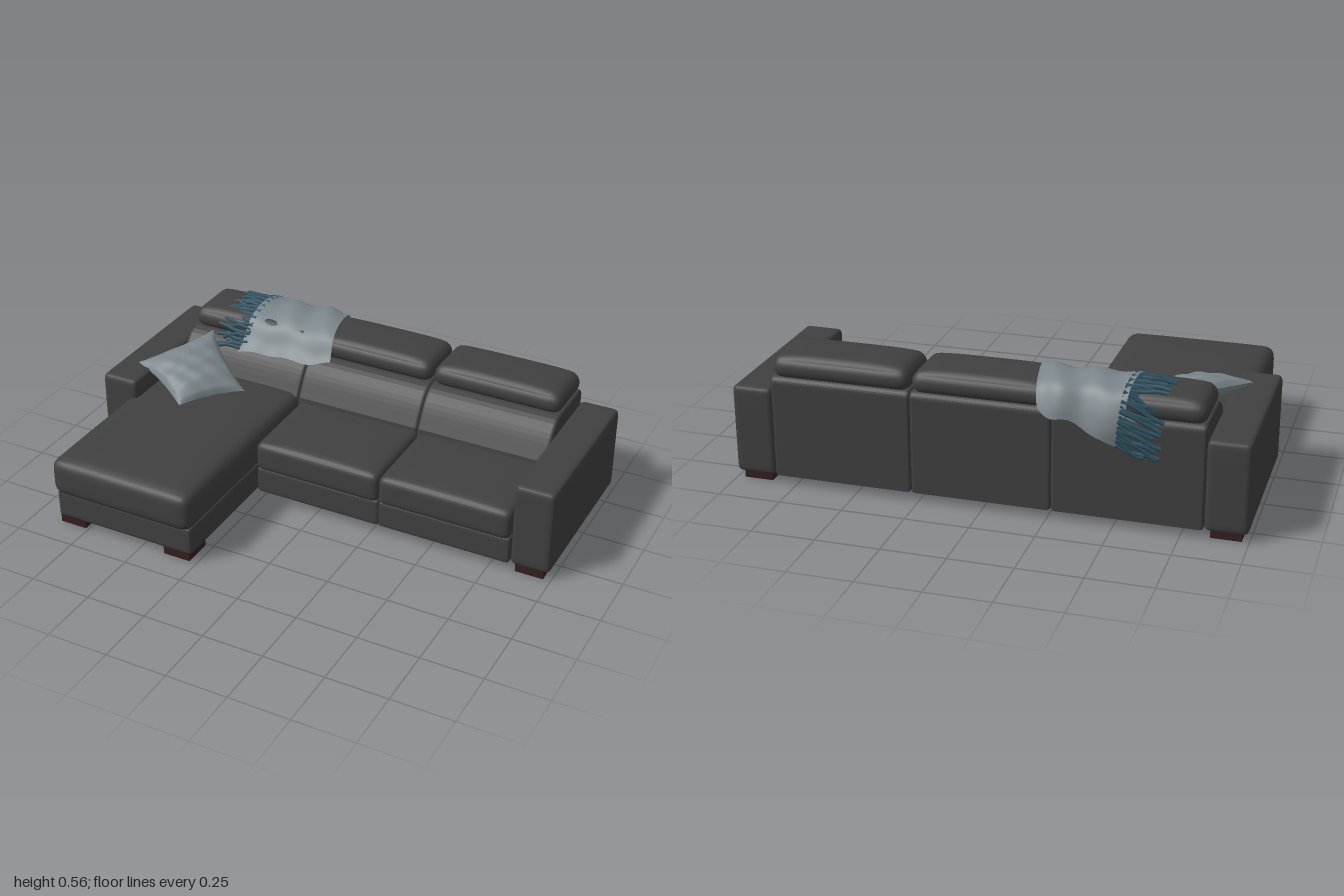
import * as THREE from 'three';
import { mergeVertices, mergeGeometries } from 'three/addons/utils/BufferGeometryUtils.js';

const mat = (name, color, side = THREE.FrontSide) => {
  const m = new THREE.MeshStandardMaterial({ color, side });
  m.name = name;
  return m;
};

// Weld a geometry and give it smooth normals
function smooth(geo) {
  geo.deleteAttribute('uv');
  geo.deleteAttribute('normal');
  const g = mergeVertices(geo, 1e-5);
  g.computeVertexNormals();
  return g;
}

// Rounded, slightly puffed upholstery block given by its limits
function softBox([x0, x1], [y0, y1], [z0, z1], r, puff = 0) {
  const half = new THREE.Vector3(x1 - x0, y1 - y0, z1 - z0).multiplyScalar(0.5);
  const inner = half.clone().subScalar(r);
  const geo = new THREE.BoxGeometry(2, 2, 2, 20, 14, 20);
  const pos = geo.attributes.position;
  const p = new THREE.Vector3(), c = new THREE.Vector3();
  const ease = (t) => Math.sin(t * Math.PI / 2);
  for (let i = 0; i < pos.count; i++) {
    p.fromBufferAttribute(pos, i);
    p.set(ease(p.x), ease(p.y), ease(p.z));
    const bulge = puff * (1 - p.x ** 4) * (1 - p.z ** 4) * Math.max(0, p.y);
    p.multiply(half);
    c.copy(p).clamp(inner.clone().negate(), inner);
    p.sub(c).normalize().multiplyScalar(r).add(c);
    pos.setXYZ(i, p.x + (x0 + x1) / 2, p.y + bulge + (y0 + y1) / 2, p.z + (z0 + z1) / 2);
  }
  return smooth(geo);
}

// Grid surface from a function of u and v
function sheet(nu, nv, fn) {
  const geo = new THREE.PlaneGeometry(1, 1, nu, nv);
  const pos = geo.attributes.position;
  for (let i = 0; i < pos.count; i++) {
    const p = fn(pos.getX(i) + 0.5, pos.getY(i) + 0.5);
    pos.setXYZ(i, p.x, p.y, p.z);
  }
  return smooth(geo);
}

// Back cushion: side profile (z, y) extruded across its width
function backGeometry(x0, x1) {
  const b = 0.012;
  const s = new THREE.Shape();
  s.moveTo(-0.588, 0.047);
  s.lineTo(-0.588, 0.41);
  s.quadraticCurveTo(-0.588, 0.43, -0.565, 0.43);
  s.lineTo(-0.37, 0.43);
  s.bezierCurveTo(-0.3, 0.425, -0.275, 0.36, -0.235, 0.29);
  s.lineTo(-0.225, 0.24);
  s.lineTo(-0.25, 0.047);
  s.closePath();
  const depth = x1 - x0 - 2 * b;
  const geo = new THREE.ExtrudeGeometry(s, {
    depth, bevelEnabled: true, bevelSize: b, bevelThickness: b, bevelSegments: 3, curveSegments: 10,
  });
  geo.translate(0, 0, -depth / 2);
  geo.rotateY(-Math.PI / 2);
  geo.translate((x0 + x1) / 2, 0, 0);
  return geo;
}

export function createModel() {
  const model = new THREE.Group();
  const leather = mat('dark leather', 0x404040);
  const fabric = mat('grey fabric', 0x7b858a, THREE.DoubleSide);
  const fringeBlue = mat('blue fringe', 0x2c4d5c);
  const wood = mat('dark wood', 0x351f1e);
  const add = (name, geo, material) => {
    const m = new THREE.Mesh(geo, material);
    m.name = name;
    model.add(m);
    return m;
  };

  // Arms
  add('rightArm', softBox([-0.998, -0.835], [0.03, 0.387], [-0.6, 0.118], 0.022), leather);
  add('leftArm', softBox([0.832, 0.995], [0.03, 0.387], [-0.6, 0.118], 0.022), leather);

  // Backs and headrests
  for (const [x0, x1] of [[-0.835, -0.265], [-0.265, 0.278], [0.278, 0.832]]) {
    add('back', backGeometry(x0, x1), leather);
    add('headrest', softBox([x0 + 0.003, x1 - 0.003], [0.43, 0.518], [-0.598, -0.345], 0.043, 0.014), leather);
  }

  // Seats
  for (const [x0, x1] of [[-0.265, 0.278], [0.278, 0.832]]) {
    add('seatBase', softBox([x0, x1], [0.035, 0.15], [-0.5, 0.128], 0.012), leather);
    add('seatCushion', softBox([x0, x1], [0.142, 0.27], [-0.28, 0.14], 0.03, 0.012), leather);
  }

  // Chaise
  add('chaiseBase', softBox([-0.88, -0.268], [0.035, 0.155], [-0.5, 0.64], 0.014), leather);
  add('chaiseCushion', softBox([-0.892, -0.262], [0.14, 0.302], [-0.28, 0.66], 0.045, 0.014), leather);

  // Feet
  const feet = [[-0.82, 0.57, 0.12], [-0.34, 0.57, 0.12]];
  for (const x of [-0.915, 0.912]) feet.push([x, 0.06, 0.1], [x, -0.505, 0.15]);
  for (const [x, z, d] of feet) {
    const geo = new THREE.BoxGeometry(0.115, 0.036, d);
    geo.translate(x, 0.018, z);
    add('foot', geo, wood);
  }

  // Throw pillow: two puffed sheets between four corners
  const corners = [[-0.73, 0.445, -0.33], [-0.46, 0.325, -0.12], [-0.64, 0.322, 0.1], [-0.91, 0.395, -0.02]]
    .map((c) => new THREE.Vector3(...c));
  const [A, B, C, D] = corners;
  const up = D.clone().sub(A).cross(B.clone().sub(A)).normalize();
  const pillowSide = (sign) => sheet(28, 28, (u, v) => {
    const a = 2 * u - 1, b = 2 * v - 1;
    const s = 0.5 + a * (1 - 0.09 * (1 - b * b)) / 2;
    const t = 0.5 + b * (1 - 0.09 * (1 - a * a)) / 2;
    const p = A.clone().lerp(B, s).lerp(D.clone().lerp(C, s), t);
    const fill = Math.sqrt(Math.max(0, (1 - a * a) * (1 - b * b)));
    const crease = 0.006 * Math.sin(9 * a + 5 * b) * Math.sin(6 * b - 3 * a);
    return p.addScaledVector(up, sign * fill * (0.055 + crease));
  });
  add('pillowTop', pillowSide(1), fabric);
  add('pillowBottom', pillowSide(-1), fabric);

  // Throw blanket draped over the headrest, front to back
  const drape = new THREE.CatmullRomCurve3([
    [0.405, -0.272], [0.45, -0.315], [0.515, -0.36], [0.548, -0.43], [0.553, -0.51],
    [0.53, -0.588], [0.47, -0.625], [0.4, -0.64], [0.335, -0.635],
  ].map(([y, z]) => new THREE.Vector3(0, y, z)));
  add('blanket', sheet(30, 40, (u, v) => {
    const start = 0.07 * u + 0.012 * Math.sin(7 * u);
    const end = 1 - 0.2 * u + 0.015 * Math.sin(9 * u);
    const p = drape.getPointAt(start + (end - start) * v);
    p.x = -0.575 + 0.04 * v + u * (0.415 - 0.1 * v);
    p.y += 0.006 * Math.sin(14 * u + 5 * v);
    p.z += 0.008 * Math.sin(11 * u - 4 * v) * (v > 0.6 ? 1 : 0.5);
    return p;
  }), fabric);

  // Fringe strands along the blanket's end
  const strands = [];
  const count = 46;
  for (let i = 0; i < count; i++) {
    const v = 0.05 + 0.92 * i / (count - 1);
    const length = 0.13 + 0.03 * Math.sin(i * 2.4);
    const hang = v > 0.62 ? 0.05 : 0.012;
    const path = [];
    for (let k = 0; k <= 4; k++) {
      const t = k / 4;
      const p = drape.getPointAt(Math.min(1, Math.max(0, v + 0.018 * t * Math.sin(i * 1.7 + 4 * t))));
      p.x = -0.55 + 0.035 * v - length * t;
      p.y -= hang * t + 0.006 + 0.005 * Math.sin(i * 2.1 + 5 * t);
      path.push(p);
    }
    strands.push(new THREE.TubeGeometry(new THREE.CatmullRomCurve3(path), 10, 0.0085, 6));
  }
  add('blanketFringe', mergeGeometries(strands), fringeBlue);

  return model;
}
